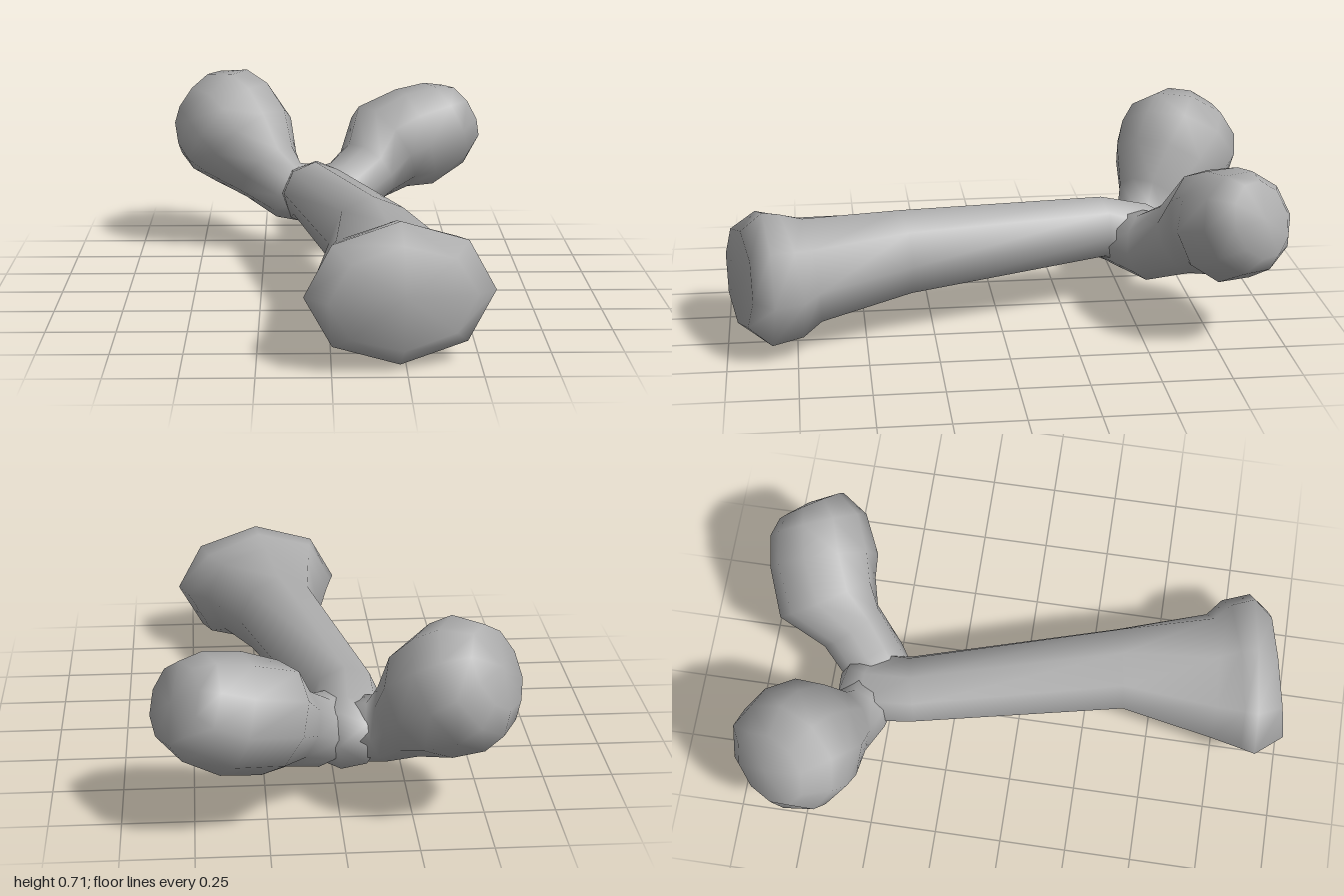
import * as THREE from 'three';
import { mergeVertices } from 'three/addons/utils/BufferGeometryUtils.js';

// Loft elliptical rings [x, y, z, radius across, radius up] along a path; zero radii close an end.
function loft(sections, sides) {
  const centres = sections.map(s => new THREE.Vector3(s[0], s[1], s[2]));
  const up = new THREE.Vector3(0, 1, 0);
  const positions = [], index = [];
  sections.forEach((s, i) => {
    const dir = centres[Math.min(i + 1, centres.length - 1)].clone()
      .sub(centres[Math.max(i - 1, 0)]).normalize();
    const u = up.clone().cross(dir).normalize();
    const v = dir.clone().cross(u);
    for (let j = 0; j < sides; j++) {
      const a = (j / sides) * Math.PI * 2;
      const p = centres[i].clone()
        .addScaledVector(u, Math.cos(a) * s[3])
        .addScaledVector(v, Math.sin(a) * s[4]);
      positions.push(p.x, p.y, p.z);
      if (i < sections.length - 1) {
        const k = (j + 1) % sides, a0 = i * sides, b0 = a0 + sides;
        if (s[3] > 0) index.push(a0 + j, a0 + k, b0 + j);
        if (sections[i + 1][3] > 0) index.push(a0 + k, b0 + k, b0 + j);
      }
    }
  });
  const geometry = new THREE.BufferGeometry();
  geometry.setAttribute('position', new THREE.Float32BufferAttribute(positions, 3));
  geometry.setIndex(index);
  const merged = mergeVertices(geometry, 1e-4);
  merged.computeVertexNormals();
  return merged;
}

export function createModel() {
  const group = new THREE.Group();
  group.name = 'bone';
  const grey = new THREE.MeshStandardMaterial({ color: 0xacacac });
  grey.name = 'bone grey';

  const add = (name, sections, sides) => {
    const mesh = new THREE.Mesh(loft(sections, sides), grey);
    mesh.name = name;
    group.add(mesh);
  };

  // Shaft with the broad knob at the front and the fork base at the back
  add('shaft', [
    [0.245, 0.25, 0.935, 0, 0],
    [0.237, 0.25, 0.952, 0.255, 0.175],
    [0.23, 0.245, 0.865, 0.325, 0.245],
    [0.215, 0.247, 0.785, 0.302, 0.23],
    [0.192, 0.255, 0.70, 0.25, 0.195],
    [0.155, 0.29, 0.36, 0.16, 0.165],
    [-0.04, 0.29, -0.40, 0.13, 0.12],
    [-0.04, 0.245, -0.55, 0.14, 0.135],
    [-0.01, 0.235, -0.64, 0.13, 0.11],
    [0, 0.235, -0.685, 0, 0],
  ], 8);

  // Taller, rounder lobe on the model's right
  add('rightLobe', [
    [-0.03, 0.245, -0.56, 0, 0],
    [-0.04, 0.245, -0.56, 0.11, 0.12],
    [-0.15, 0.255, -0.585, 0.11, 0.12],
    [-0.23, 0.32, -0.64, 0.14, 0.145],
    [-0.31, 0.415, -0.71, 0.22, 0.21],
    [-0.39, 0.485, -0.76, 0.24, 0.235],
    [-0.455, 0.54, -0.79, 0.22, 0.22],
    [-0.515, 0.58, -0.82, 0.15, 0.15],
    [-0.53, 0.59, -0.835, 0, 0],
  ], 10);

  // Lower, longer lobe on the model's left, with a blunt end
  add('leftLobe', [
    [-0.06, 0.25, -0.47, 0, 0],
    [-0.05, 0.25, -0.475, 0.11, 0.11],
    [0.07, 0.248, -0.57, 0.125, 0.13],
    [0.17, 0.315, -0.67, 0.13, 0.14],
    [0.24, 0.395, -0.765, 0.195, 0.195],
    [0.37, 0.43, -0.80, 0.205, 0.21],
    [0.495, 0.48, -0.84, 0.185, 0.185],
    [0.555, 0.51, -0.875, 0.13, 0.14],
    [0.565, 0.515, -0.885, 0, 0],
  ], 10);

  return group;
}
